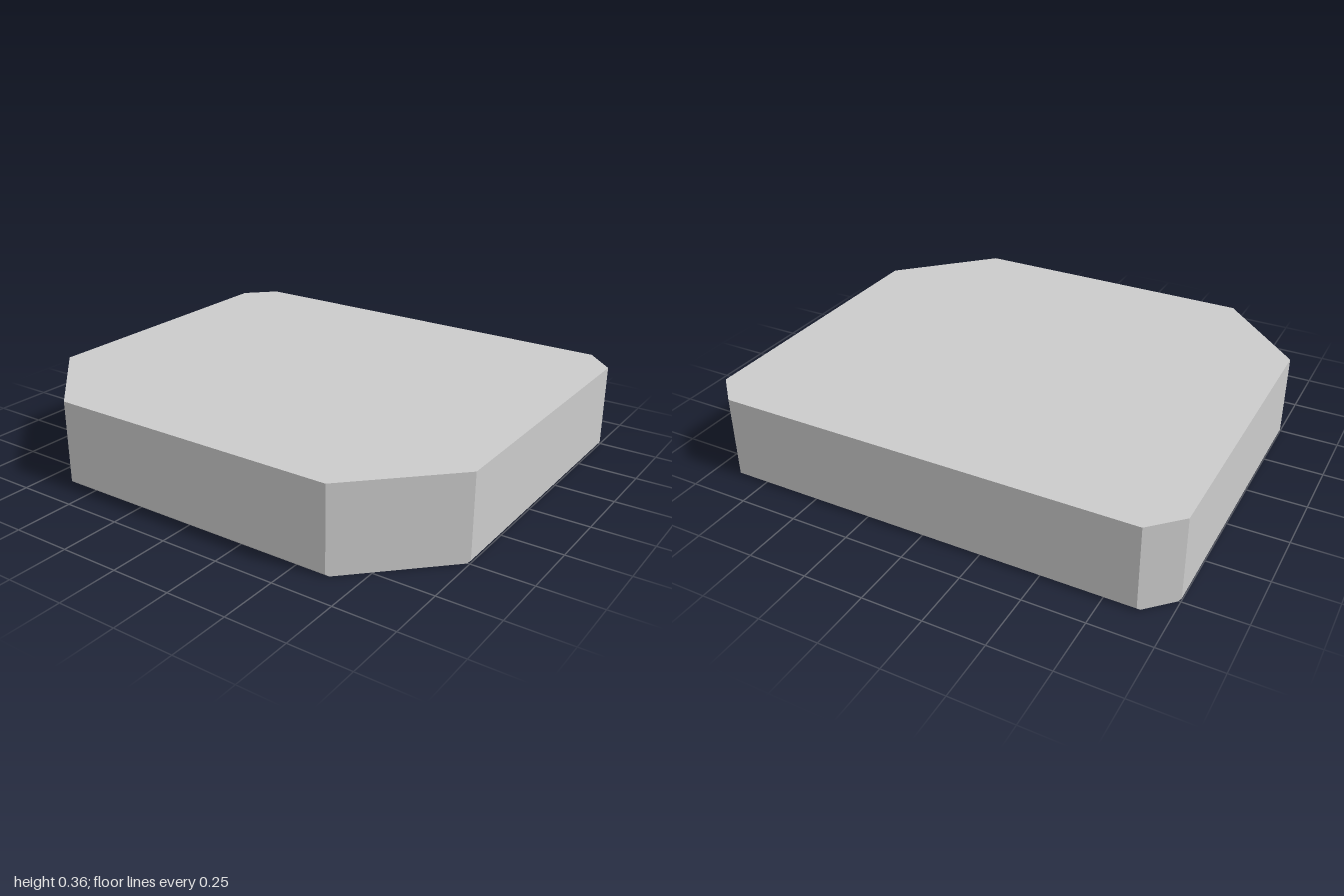
import * as THREE from 'three';

const HALF_X = 1, HALF_Z = 0.863, HEIGHT = 0.36, BEVEL = 0.01;
const FRONT_CUT = 1.493, BACK_CUT = 1.743; // |x| + |z| on the 45 degree corner planes

// Eight-sided outline, counter-clockwise from above; the inset moves only the straight sides
function outline(y, inset) {
  const x = HALF_X - inset, z = HALF_Z - inset;
  const half = [
    [x, FRONT_CUT - x], [x, x - BACK_CUT],
    [BACK_CUT - z, -z],
  ];
  const right = [[FRONT_CUT - z, z], ...half];
  const left = right.map(([px, pz]) => [-px, pz]).reverse();
  return [...right, ...left].map(([px, pz]) => new THREE.Vector3(px, y, pz));
}

// Joins closed cross-sections from bottom to top and caps both ends
function loft(rings) {
  const points = [];
  const n = rings[0].length;
  for (let r = 0; r < rings.length - 1; r++) {
    for (let i = 0; i < n; i++) {
      const j = (i + 1) % n, lo = rings[r], hi = rings[r + 1];
      points.push(lo[i], lo[j], hi[j], lo[i], hi[j], hi[i]);
    }
  }
  const bottom = rings[0], top = rings[rings.length - 1];
  for (let i = 1; i < n - 1; i++) {
    points.push(bottom[0], bottom[i + 1], bottom[i], top[0], top[i], top[i + 1]);
  }
  const geometry = new THREE.BufferGeometry().setFromPoints(points);
  geometry.computeVertexNormals();
  return geometry;
}

export function createModel() {
  const group = new THREE.Group();
  group.name = 'slab';

  // Slab with cut corners and a fine bevel under its straight sides
  const slab = new THREE.Mesh(
    loft([outline(0, BEVEL), outline(BEVEL, 0), outline(HEIGHT, 0)]),
    new THREE.MeshStandardMaterial({ color: 0xcccccc, flatShading: true }),
  );
  slab.name = 'slabBody';
  group.add(slab);
  return group;
}
